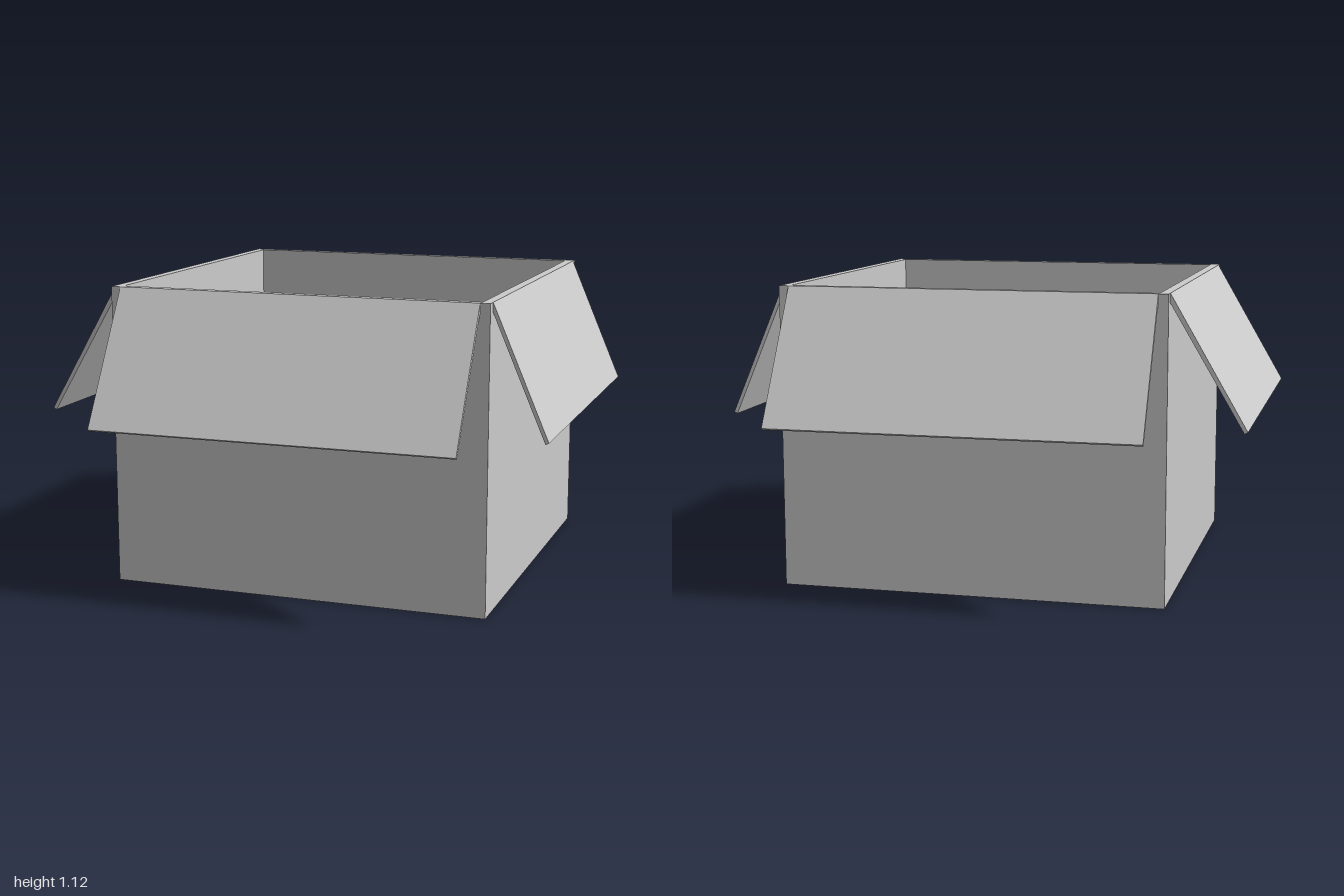
import * as THREE from 'three';

const SIZE = 1.43, HEIGHT = 1.12, WALL = 0.035, CENTRE_X = 0.035;
const FLAP_LENGTH = 1.357, FLAP_DROP = 0.485;

function rectangle(size, PathType) {
  const h = size / 2;
  return new PathType([[-h, -h], [h, -h], [h, h], [-h, h]].map(([x, y]) => new THREE.Vector2(x, y)));
}

export function createModel() {
  const group = new THREE.Group();
  const material = new THREE.MeshStandardMaterial({ color: 0xcccccc, flatShading: true });
  const add = (name, geometry) => {
    const mesh = new THREE.Mesh(geometry, material);
    mesh.name = name;
    group.add(mesh);
    return mesh;
  };

  // Four walls as one square ring with an open top
  const ring = rectangle(SIZE, THREE.Shape);
  ring.holes.push(rectangle(SIZE - 2 * WALL, THREE.Path));
  const walls = new THREE.ExtrudeGeometry(ring, { depth: HEIGHT, bevelEnabled: false });
  walls.rotateX(-Math.PI / 2);
  add('walls', walls).position.x = CENTRE_X;

  // Floor panel inside the walls
  const inner = SIZE - 2 * WALL;
  add('floor', new THREE.BoxGeometry(inner, WALL, inner)).position.set(CENTRE_X, WALL / 2, 0);

  // Thin flaps hinged on the rim and hanging outwards
  const flaps = [
    ['leftFlap', 0, 0.205],
    ['rightFlap', Math.PI, 0.278],
    ['frontFlap', -Math.PI / 2, 0.285],
    ['backFlap', Math.PI / 2, 0.285],
  ];
  for (const [name, angle, reach] of flaps) {
    const profile = new THREE.Shape();
    profile.moveTo(0, 0);
    profile.lineTo(reach, 0.007 - FLAP_DROP);
    profile.lineTo(reach - 0.012, -FLAP_DROP);
    profile.lineTo(0, -0.035);
    profile.closePath();
    const geometry = new THREE.ExtrudeGeometry(profile, { depth: FLAP_LENGTH, bevelEnabled: false });
    geometry.translate(SIZE / 2, HEIGHT, -FLAP_LENGTH / 2);
    const flap = add(name, geometry);
    flap.rotation.y = angle;
    flap.position.x = CENTRE_X;
  }

  return group;
}
